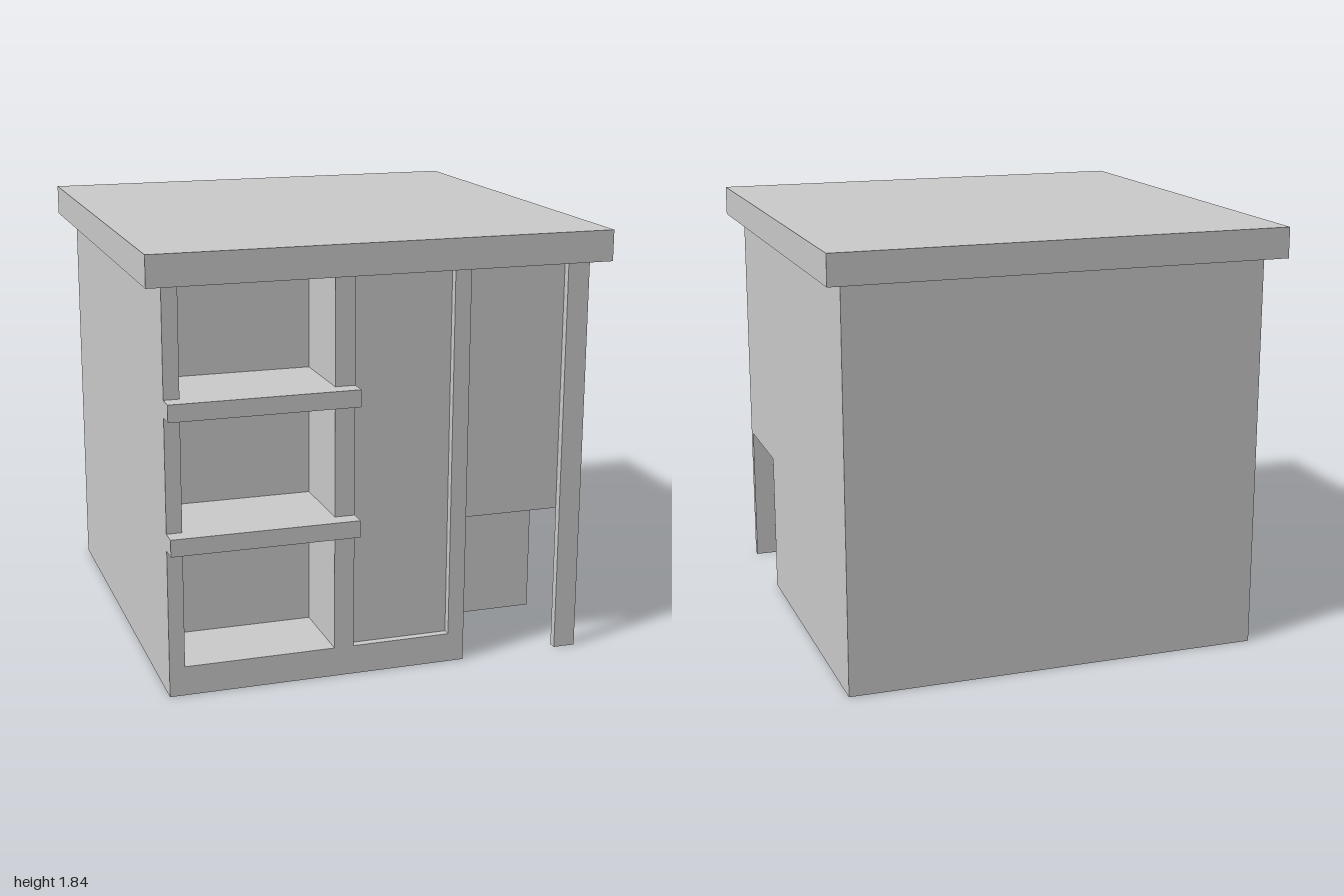
import * as THREE from 'three';

const material = new THREE.MeshStandardMaterial({ color: 0xcccccc, flatShading: true });

// Main levels and depths
const X = 0.905, FRONT = 0.925, BACK = -0.925, PANEL = 0.89;
const SILL = 0.125, NICHE_TOP = 0.63, ROOF = 1.71;
const RECESS_BACK = 0.57, NICHE_BACK = 0.43;

function add(group, name, geometry) {
  const mesh = new THREE.Mesh(geometry, material);
  mesh.name = name;
  group.add(mesh);
}

// Box given by its minimum and maximum on each axis
function block(group, name, [x0, x1], [y0, y1], [z0, z1]) {
  const geometry = new THREE.BoxGeometry(x1 - x0, y1 - y0, z1 - z0);
  geometry.translate((x0 + x1) / 2, (y0 + y1) / 2, (z0 + z1) / 2);
  add(group, name, geometry);
}

// Upright prism from a floor plan of [x, z] points
function storey(group, name, plan, y0, y1) {
  const shape = new THREE.Shape(plan.map(([x, z]) => new THREE.Vector2(x, -z)));
  const geometry = new THREE.ExtrudeGeometry(shape, { depth: y1 - y0, bevelEnabled: false });
  geometry.rotateX(-Math.PI / 2);
  geometry.translate(0, y0, 0);
  add(group, name, geometry);
}

export function createModel() {
  const group = new THREE.Group();
  group.name = 'cabin';

  // Floor-plan pieces, followed from back to front left, then rightwards
  const back = [[X, BACK], [-X, BACK], [-X, FRONT]];
  const shelfBay = [[-0.84, FRONT], [-0.84, RECESS_BACK], [-0.2, RECESS_BACK], [-0.2, FRONT]];
  const doorBay = [[-0.115, FRONT], [-0.115, PANEL], [0.31, PANEL], [0.31, FRONT]];
  const niche = [[0.38, FRONT], [0.38, NICHE_BACK], [X, NICHE_BACK]];
  const panel = [[0.38, FRONT], [0.38, PANEL], [X, PANEL]];

  // Walls: plinth, lower part with the open corner niche, upper part with the panel
  storey(group, 'plinth', [...back, ...niche], 0, SILL);
  storey(group, 'lowerWalls', [...back, ...shelfBay, ...doorBay, ...niche], SILL, NICHE_TOP);
  storey(group, 'upperWalls', [...back, ...shelfBay, ...doorBay, ...panel], NICHE_TOP, ROOF);

  // Slim post at the open corner
  block(group, 'cornerPost', [0.81, X], [0, ROOF], [PANEL, FRONT]);

  // Shelves: a board inside the bay and a wider lip in front of it
  for (const y of [0.63, 1.18]) {
    const height = [y, y + 0.072];
    block(group, 'shelfBoard', [-0.84, -0.2], height, [RECESS_BACK, FRONT]);
    block(group, 'shelfLip', [-X, -0.115], height, [FRONT, 1]);
  }

  // Overhanging flat roof
  block(group, 'roof', [-0.978, 0.975], [ROOF, 1.84], [-1, 0.993]);

  return group;
}
